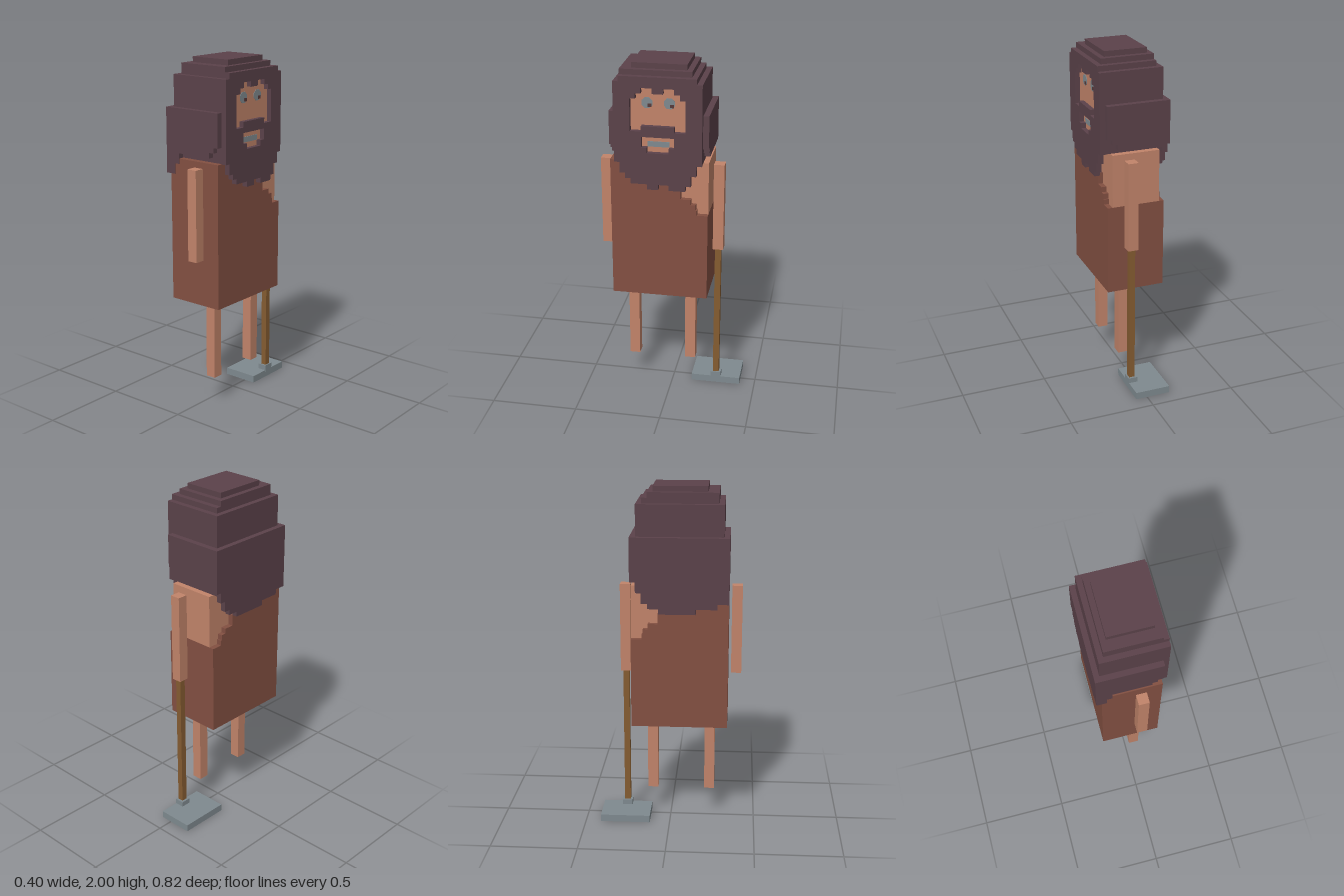
import * as THREE from 'three';

export function createModel() {
  const group = new THREE.Group();
  const U = 0.0306; // voxel size

  const mat = (name, color) => {
    const m = new THREE.MeshStandardMaterial({ color });
    m.name = name;
    return m;
  };
  const hair = mat('hair', 0x5b424a);
  const skin = mat('skin', 0xc2846a);
  const cloth = mat('cloth', 0x835042);
  const wood = mat('wood', 0x855c31);
  const metal = mat('metal', 0x7f8a8f);
  const pupil = mat('pupil', 0x573a3a);

  const add = (name, geo, m) => {
    const mesh = new THREE.Mesh(geo, m);
    mesh.name = name;
    group.add(mesh);
    return mesh;
  };
  // Box from its two corners
  const box = (name, m, [x0, x1], [y0, y1], [z0, z1]) => {
    const geo = new THREE.BoxGeometry(x1 - x0, y1 - y0, z1 - z0);
    geo.translate((x0 + x1) / 2, (y0 + y1) / 2, (z0 + z1) / 2);
    return add(name, geo, m);
  };
  // Head grid: columns run from +z to -z, rows run down from the crown
  const colZ = (c) => 0.304 - c * U;
  const rowY = (r) => 2 - r * U;
  const gridPoints = (pts) => pts.map(([c, r]) => new THREE.Vector2(-colZ(c), rowY(r)));
  // Plate cut from a (-z, y) outline, running from x0 to x1
  const plateX = (name, m, pts, x0, x1, holes = []) => {
    const shape = new THREE.Shape(pts);
    holes.forEach((h) => shape.holes.push(new THREE.Path(h)));
    const geo = new THREE.ExtrudeGeometry(shape, { depth: x1 - x0, bevelEnabled: false });
    geo.rotateY(Math.PI / 2).translate(x0, 0, 0);
    return add(name, geo, m);
  };
  const vec = (pts) => pts.map(([a, b]) => new THREE.Vector2(a, b));

  // Tunic, with one shoulder cut away in steps
  plateX('tunic', cloth, vec([
    [-0.334, 0.625], [0.217, 0.625], [0.217, 1.145], [0.155, 1.145], [0.155, 1.175], [0.148, 1.175],
    [0.148, 1.206], [0.12, 1.206], [0.12, 1.236], [0.063, 1.236], [0.063, 1.3], [0.033, 1.3],
    [0.033, 1.45], [-0.334, 1.45],
  ]), -0.17, 0.167);
  box('bareShoulder', skin, [-0.14, 0.137], [1.1, 1.45], [-0.216, 0]);

  // Limbs
  box('leftLeg', skin, [0.015, 0.075], [0.165, 0.63], [0.2, 0.26]);
  box('rightLeg', skin, [0.015, 0.075], [0.165, 0.63], [-0.138, -0.077]);
  box('leftArm', skin, [0.015, 0.075], [0.9, 1.42], [0.35, 0.41]);
  box('rightArm', skin, [0.015, 0.075], [0.9, 1.42], [-0.295, -0.235]);

  // Long-handled tool
  box('toolHandle', wood, [0.028, 0.062], [0.05, 0.91], [-0.282, -0.247]);
  box('toolCollar', metal, [0.015, 0.07], [0.03, 0.073], [-0.295, -0.235]);
  box('toolBlade', metal, [-0.14, 0.068], [0, 0.042], [-0.41, -0.118]);

  // Head of hair with a stepped crown
  box('hairCore', hair, [-0.17, 0.167], [1.452, rowY(3)], [colZ(16), colZ(0)]);
  box('crownLower', hair, [-0.14, 0.167], [rowY(3), rowY(2)], [colZ(15), colZ(1)]);
  box('crownMiddle', hair, [-0.14, 0.167], [rowY(2), rowY(1)], [colZ(14), colZ(1)]);
  box('crownTop', hair, [-0.11, 0.137], [rowY(1), rowY(0)], [colZ(13), colZ(3)]);

  // Beard and fringe around the face, open at the eyes and mouth
  const faceHole = gridPoints([
    [3, 12], [3, 6], [4, 6], [4, 5], [5, 5], [5, 4], [7, 4], [7, 5], [9, 5], [9, 4], [11, 4],
    [11, 5], [12, 5], [12, 6], [13, 6], [13, 12], [11, 12], [11, 11], [5, 11], [5, 12],
  ]);
  const mouthHole = gridPoints([
    [5, 13], [11, 13], [11, 15], [10, 15], [10, 16], [6, 16], [6, 15], [5, 15],
  ]);
  const beardOutline = gridPoints([
    [0, 3], [0, 18], [1, 18], [1, 20], [2, 20], [2, 21], [3, 21], [3, 22], [6, 22], [6, 23], [8, 23],
    [8, 22], [10, 22], [10, 23], [13, 23], [13, 22], [14, 22], [14, 20], [15, 20], [15, 18],
    [16, 18], [16, 3], [15, 3], [15, 2], [1, 2], [1, 3],
  ]);
  plateX('beardAndFringe', hair, beardOutline, 0.167, 0.198, [faceHole, mouthHole]);

  // Face behind the beard opening
  box('face', skin, [0.164, 0.17], [rowY(17), rowY(3.5)], [colZ(13.5), colZ(2.5)]);
  box('teeth', metal, [0.168, 0.173], [rowY(15), rowY(14)], [colZ(10), colZ(6)]);
  for (const c of [6, 10]) {
    const eye = new THREE.CylinderGeometry(1.06 * U, 1.06 * U, 0.005, 8);
    eye.rotateY(Math.PI / 8).rotateZ(Math.PI / 2).translate(0.1705, rowY(6.85), colZ(c));
    add('eye', eye, metal);
    box('pupil', pupil, [0.17, 0.175], [rowY(7.6), rowY(7)], [colZ(c + 0.8), colZ(c + 0.1)]);
  }

  // Hair flaps at both sides
  const flap = (name, pts, z) => {
    const geo = new THREE.ExtrudeGeometry(new THREE.Shape(vec(pts)), { depth: 0.033, bevelEnabled: false });
    geo.translate(0, 0, z);
    add(name, geo, hair);
  };
  const flapFront = [[0.108, 1.48], [0.108, 1.51], [0.137, 1.51], [0.137, 1.54], [0.167, 1.54], [0.167, 1.73], [-0.17, 1.73]];
  flap('leftHairFlap', [[-0.17, 1.36], [-0.14, 1.36], [-0.14, 1.42], [-0.11, 1.42], [-0.11, 1.48], ...flapFront], 0.303);
  flap('rightHairFlap', [[-0.17, 1.48], ...flapFront], -0.219);

  // Hair hanging down the back
  plateX('backHair', hair, vec([
    [-0.336, 1.36], [-0.27, 1.36], [-0.27, 1.33], [-0.15, 1.33], [-0.15, 1.3], [0.06, 1.3], [0.06, 1.33],
    [0.12, 1.33], [0.12, 1.36], [0.155, 1.36], [0.155, 1.42], [0.187, 1.42], [0.187, 1.48],
    [0.219, 1.48], [0.219, 1.73], [-0.336, 1.73],
  ]), -0.2, -0.17);

  return group;
}
